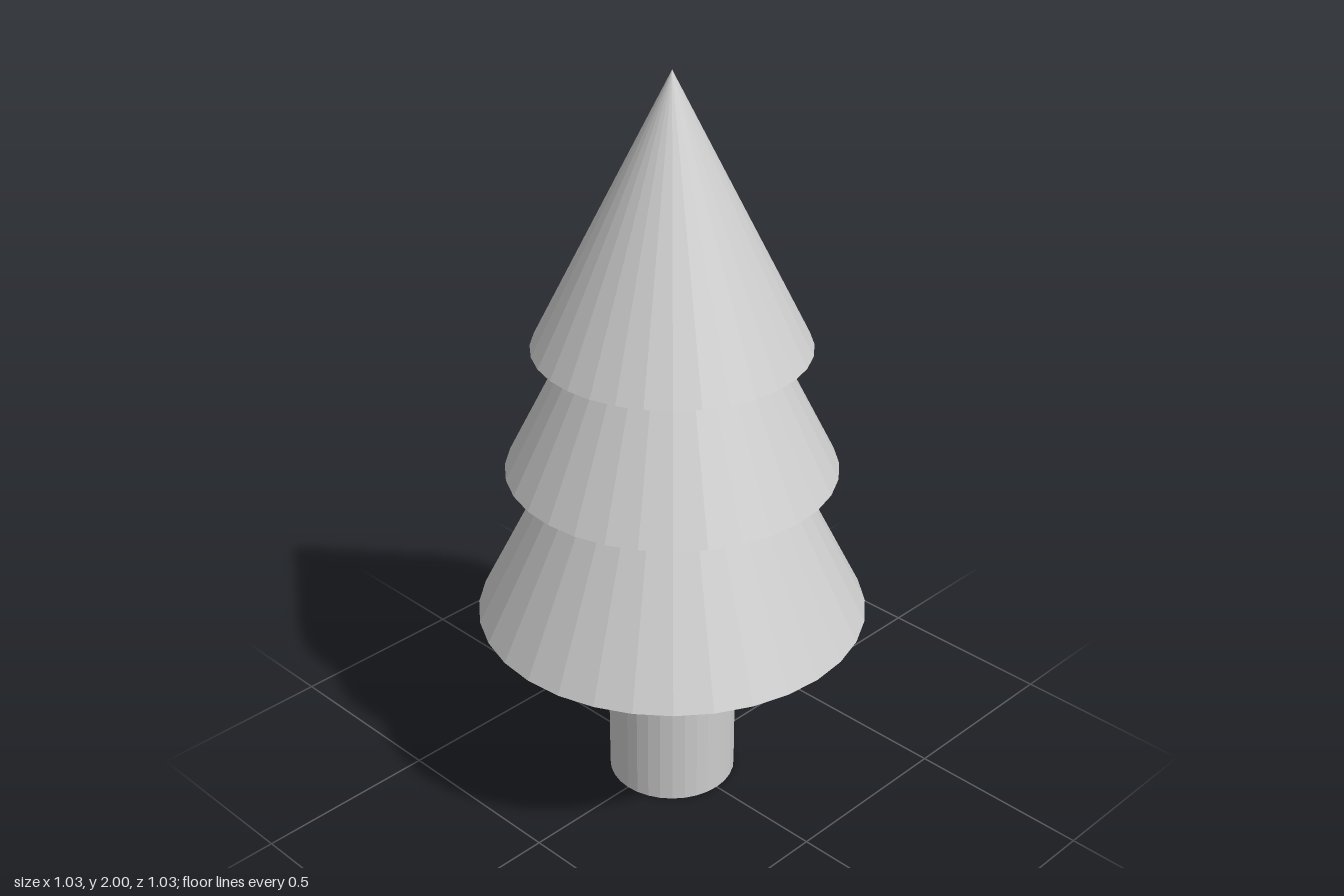
import * as THREE from 'three';

const SIDES = 32;

export function createModel() {
  const tree = new THREE.Group();
  tree.name = 'tree';
  const grey = new THREE.MeshStandardMaterial({ color: 0xcccccc });
  grey.name = 'light grey';
  grey.flatShading = true;

  // Adds one part standing on the given height
  const add = (name, geometry, base, height) => {
    const mesh = new THREE.Mesh(geometry, grey);
    mesh.name = name;
    mesh.position.y = base + height / 2;
    tree.add(mesh);
  };

  // Trunk
  add('trunk', new THREE.CylinderGeometry(0.172, 0.172, 0.53, SIDES), 0, 0.53);

  // Foliage: three cones of the same slope, each overlapping the one below
  const tiers = [
    ['lowerFoliage', 0.515, 0.53, 1.03],
    ['middleFoliage', 0.43, 0.95, 0.86],
    ['upperFoliage', 0.355, 1.29, 0.71],
  ];
  for (const [name, radius, base, height] of tiers) {
    add(name, new THREE.ConeGeometry(radius, height, SIDES), base, height);
  }
  return tree;
}
